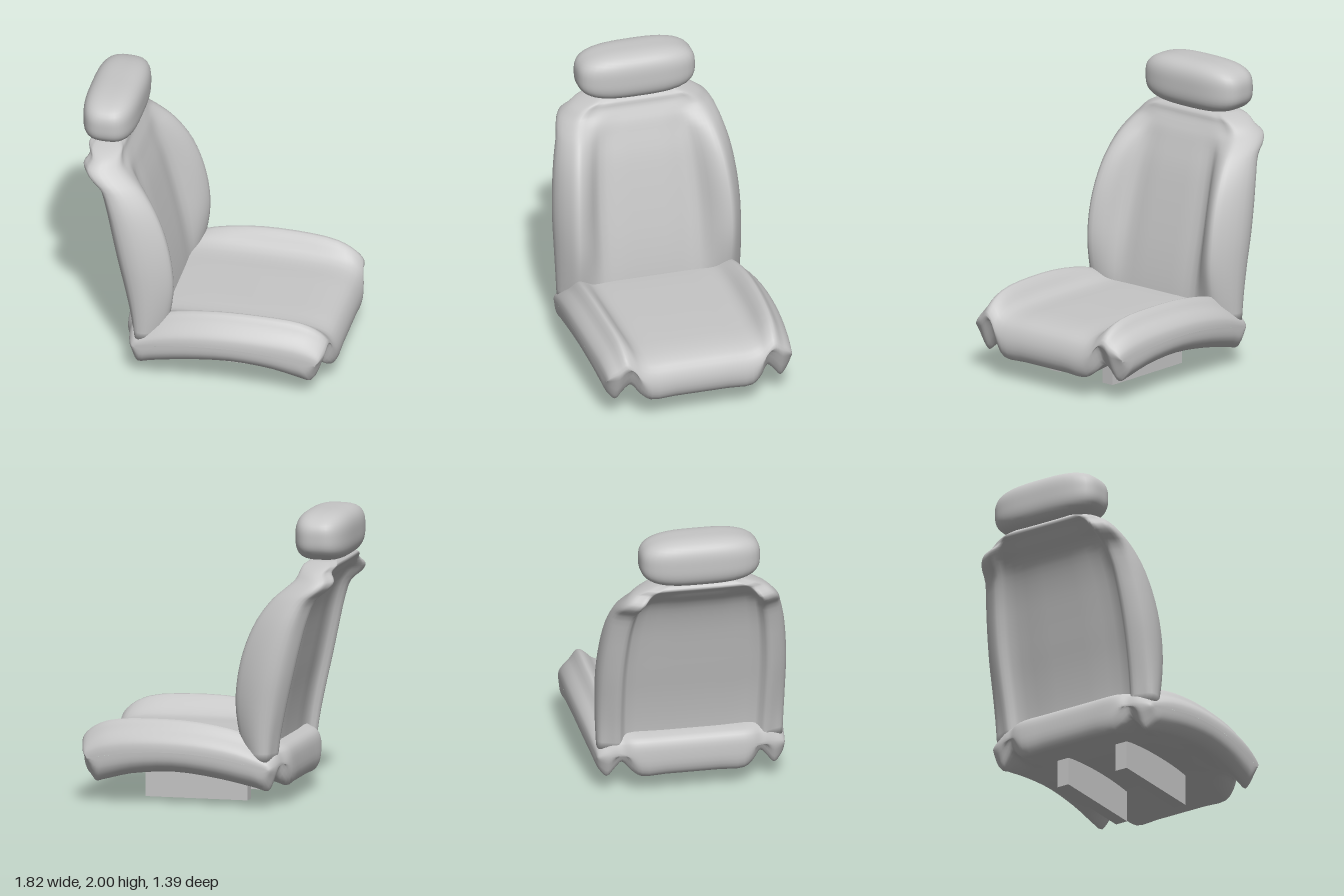
import * as THREE from 'three';
import { mergeVertices } from 'three/addons/utils/BufferGeometryUtils.js';

const upholstery = new THREE.MeshStandardMaterial({ color: 0xc6c6c6 });
upholstery.name = 'greyUpholstery';

const V = (x, y, z) => new THREE.Vector3(x, y, z);
const spline = (points, closed) => new THREE.CatmullRomCurve3(points, closed, 'centripetal');

// Smooth skin through closed rings, subdivided both ways and optionally capped.
function loft(rings, capped, around = 3, along = 3) {
  const n = rings[0].length * around, m = (rings.length - 1) * along + 1;
  const fine = rings.map((r) => {
    const c = spline(r, true);
    return Array.from({ length: n }, (_, i) => c.getPoint(i / n));
  });
  const pos = [], index = [];
  const columns = Array.from({ length: n }, (_, i) => spline(fine.map((r) => r[i]), false));
  for (let j = 0; j < m; j++) {
    for (const c of columns) pos.push(...c.getPoint(j / (m - 1)).toArray());
  }
  for (let j = 0; j < m - 1; j++) {
    for (let i = 0; i < n; i++) {
      const a = j * n + i, b = j * n + (i + 1) % n;
      index.push(a, b, a + n, b, b + n, a + n);
    }
  }
  if (capped) {
    [0, m - 1].forEach((j, end) => {
      const ring = fine[end ? fine.length - 1 : 0];
      const mid = ring.reduce((s, p) => s.add(p), V(0, 0, 0)).divideScalar(n);
      const c = pos.length / 3;
      pos.push(mid.x, mid.y, mid.z);
      for (let i = 0; i < n; i++) {
        const a = j * n + i, b = j * n + (i + 1) % n;
        index.push(...(end ? [a, b, c] : [b, a, c]));
      }
    });
  }
  // Turn the skin outwards if its enclosed volume is negative.
  const at = (i) => V(pos[3 * i], pos[3 * i + 1], pos[3 * i + 2]);
  let volume = 0;
  for (let k = 0; k < index.length; k += 3) {
    volume += at(index[k]).dot(at(index[k + 1]).cross(at(index[k + 2])));
  }
  if (volume < 0) index.reverse();
  const g = new THREE.BufferGeometry();
  g.setAttribute('position', new THREE.Float32BufferAttribute(pos, 3));
  g.setIndex(index);
  g.computeVertexNormals();
  return g;
}

// Cushion: side profiles of the middle and of the bolster, blended across the width.
function cushionGeometry() {
  const middle = [[-0.5, 0.41], [-0.3, 0.44], [0.1, 0.45], [0.5, 0.45], [0.74, 0.435], [0.85, 0.39],
    [0.9, 0.3], [0.9, 0.21], [0.86, 0.15], [0.78, 0.165], [0.5, 0.22], [0.2, 0.235],
    [-0.15, 0.21], [-0.43, 0.15], [-0.51, 0.13], [-0.55, 0.19], [-0.555, 0.29], [-0.54, 0.37]];
  const bolster = [[-0.46, 0.39], [-0.26, 0.5], [0.05, 0.565], [0.4, 0.578], [0.69, 0.553], [0.82, 0.49],
    [0.875, 0.42], [0.855, 0.3], [0.78, 0.145], [0.72, 0.155], [0.52, 0.205], [0.22, 0.23],
    [-0.1, 0.195], [-0.36, 0.14], [-0.45, 0.12], [-0.49, 0.2], [-0.51, 0.29], [-0.49, 0.36]];
  // z, blend to bolster, notch at the ends, top rounding, bottom rounding, end rounding
  const stations = [[0, 0, 0, 0, 0, 0], [0.2, 0, 0, 0, 0, 0], [0.38, 0, 0, 0, 0, 0], [0.45, 0.25, 0.4, 0, 0, 0],
    [0.505, 0.75, 0.9, 0, 0, 0], [0.555, 1, 0.5, 0, 0, 0], [0.61, 1, 0, 0.3, 0, 0.015], [0.655, 1, 0, 0.5, 0.22, 0.035],
    [0.682, 1, 0, 0.68, 0.5, 0.055], [0.691, 1, 0, 0.85, 0.75, 0.075], [0.693, 1, 0, 1, 1, 0.09]];
  const ring = ([z, blend, notch, top, bottom, end], side) => middle.map(([mx, my], i) => {
    const x = THREE.MathUtils.lerp(mx, bolster[i][0], blend);
    let y = THREE.MathUtils.lerp(my, bolster[i][1], blend);
    const core = 0.37 - 0.18 * (x - 0.25) ** 2;
    if (y < core) y += 0.12 * notch * THREE.MathUtils.smoothstep(Math.abs(x - 0.15), 0.4, 0.62);
    y += (core - y) * (y > core ? top : bottom);
    return V(x + (0.17 - x) * end, y, side * z * (1 - 0.12 * (x - 0.2) ** 2));
  });
  return loft([...stations.slice(1).reverse().map((s) => ring(s, -1)), ...stations.map((s) => ring(s, 1))], false);
}

// Backrest: level rings with raised wings in front and a recessed panel behind.
function backrestGeometry() {
  // y, half width, panel front x, wing front x, strip rear x, rear panel x
  const levels = [
    [0.32, 0.645, -0.27, -0.27, -0.485, -0.43], [0.5, 0.652, -0.29, -0.225, -0.51, -0.45],
    [0.7, 0.657, -0.325, -0.2, -0.55, -0.485], [0.9, 0.657, -0.37, -0.215, -0.595, -0.53],
    [1.1, 0.643, -0.42, -0.262, -0.64, -0.575], [1.28, 0.617, -0.47, -0.34, -0.685, -0.62],
    [1.42, 0.58, -0.52, -0.44, -0.74, -0.67], [1.5, 0.55, -0.55, -0.53, -0.83, -0.72],
    [1.55, 0.515, -0.575, -0.585, -0.855, -0.77], [1.6, 0.46, -0.6, -0.605, -0.825, -0.81],
    [1.64, 0.385, -0.61, -0.615, -0.845, -0.845], [1.67, 0.29, -0.65, -0.66, -0.82, -0.82]];
  return loft(levels.map(([y, w, front, wing, strip, rear]) => {
    const k = w / 0.66, depth = wing - strip;
    const half = [[front, 0.17], [front, 0.34], [wing - 0.3 * (wing - front), 0.45], [wing, 0.54],
      [wing - 0.12 * depth, 0.59], [wing - 0.5 * depth, 0.655], [strip + 0.2 * depth, 0.645],
      [strip + 0.02, 0.58], [strip, 0.51], [rear, 0.455], [rear, 0.2]];
    return [V(front, y, 0), ...half.map(([x, z]) => V(x, y, z * k)), V(rear, y, 0),
      ...half.slice().reverse().map(([x, z]) => V(x, y, -z * k))];
  }), true);
}

// Headrest: sphere pushed out into a soft rounded block.
function headrestGeometry() {
  let g = new THREE.SphereGeometry(1, 48, 32);
  g.deleteAttribute('uv');
  g.deleteAttribute('normal');
  const p = g.attributes.position, e = 3.1;
  for (let i = 0; i < p.count; i++) {
    const v = V(0, 0, 0).fromBufferAttribute(p, i);
    const r = (Math.abs(v.x) ** e + Math.abs(v.y) ** e + Math.abs(v.z) ** e) ** (1 / e);
    p.setXYZ(i, v.x / r * 0.19, v.y / r * 0.173, v.z / r * 0.414);
  }
  g = mergeVertices(g);
  g.computeVertexNormals();
  return g;
}

export function createModel() {
  const model = new THREE.Group();
  model.name = 'carSeat';
  const add = (name, geometry, x = 0, y = 0, z = 0) => {
    const mesh = new THREE.Mesh(geometry, upholstery);
    mesh.name = name;
    mesh.position.set(x, y, z);
    model.add(mesh);
  };
  add('seatCushion', cushionGeometry());
  add('backrest', backrestGeometry());
  add('headrest', headrestGeometry(), -0.72, 1.827, 0);
  // Mounting rails under the cushion
  for (const [name, z] of [['rearRail', -0.245], ['frontRail', 0.23]]) {
    add(name, new THREE.BoxGeometry(0.715, 0.24, 0.09), 0.142, 0.12, z);
  }
  return model;
}
